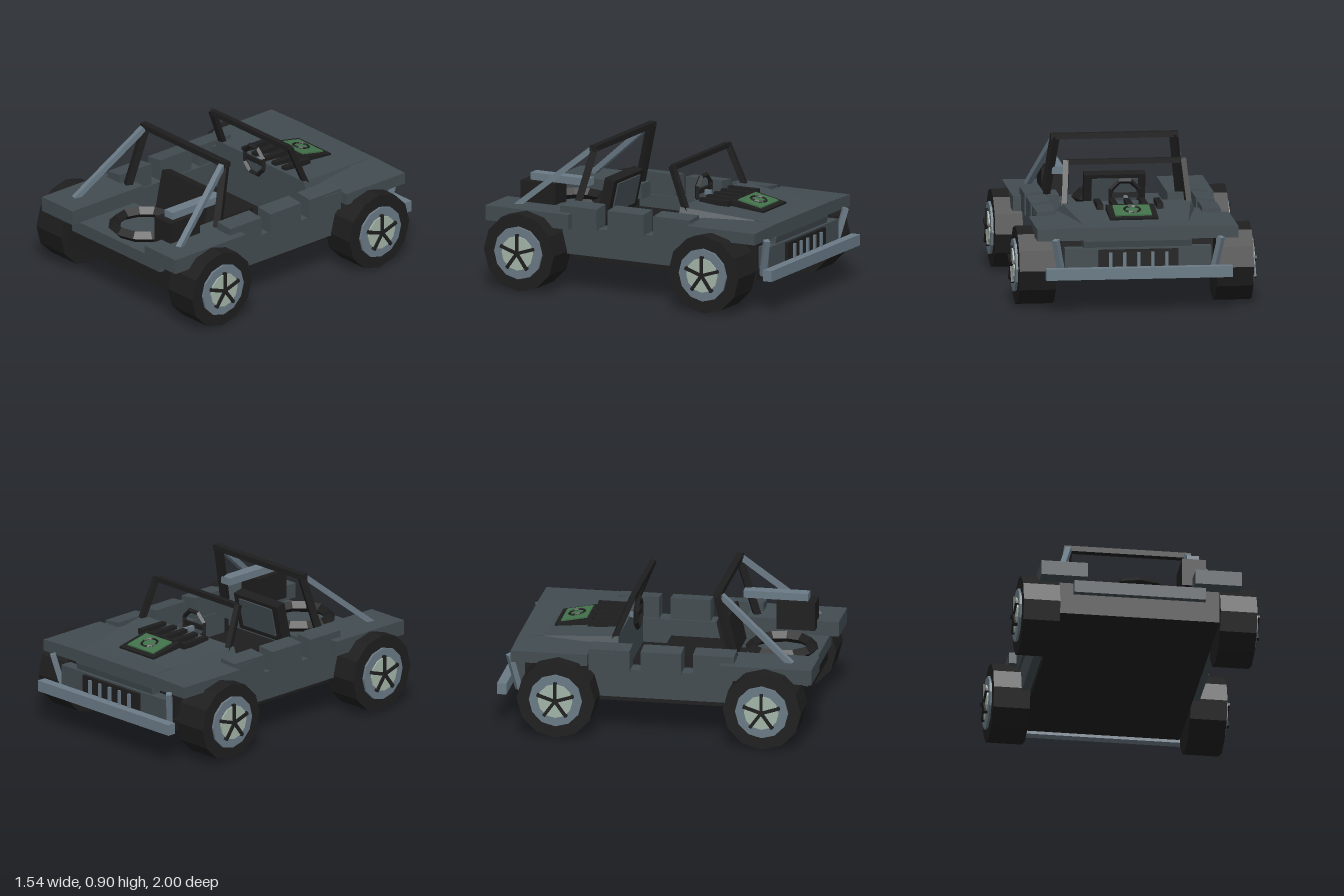
import * as THREE from 'three';

const mat = (name, color) => {
  const m = new THREE.MeshStandardMaterial({ color });
  m.name = name;
  m.flatShading = true;
  return m;
};

export function createModel() {
  const body = mat('slate body', 0x424c51);
  const dark = mat('black', 0x1e1e1e);
  const steel = mat('light steel', 0x6a7a86);
  const pale = mat('pale hub', 0xa3b5a8);
  const green = mat('green', 0x42724b);
  const root = new THREE.Group();
  root.name = 'buggy';

  const add = (name, geo, material, parent = root) => {
    const m = new THREE.Mesh(geo, material);
    m.name = name;
    parent.add(m);
    return m;
  };
  // Box given by its extents on each axis
  const box = (name, material, x0, x1, y0, y1, z0, z1, parent = root) => {
    const m = add(name, new THREE.BoxGeometry(Math.abs(x1 - x0), y1 - y0, z1 - z0), material, parent);
    m.position.set((x0 + x1) / 2, (y0 + y1) / 2, (z0 + z1) / 2);
    return m;
  };
  // Lower the outer top edge of a box on side s
  const slopeOut = (mesh, s, drop) => {
    const p = mesh.geometry.attributes.position;
    for (let i = 0; i < p.count; i++)
      if (p.getY(i) > 0 && p.getX(i) * s > 0) p.setY(i, p.getY(i) - drop);
    mesh.geometry.computeVertexNormals();
  };
  // Square bar between two points
  const bar = (name, material, a, b, t) => {
    const p = new THREE.Vector3(...a), q = new THREE.Vector3(...b);
    const m = add(name, new THREE.BoxGeometry(t, t, p.distanceTo(q)), material);
    m.position.copy(p).add(q).multiplyScalar(0.5);
    m.lookAt(q);
  };

  // Chassis and floor
  box('floorPan', dark, -0.505, 0.505, 0.192, 0.26, -0.85, 0.9);
  box('rearChassis', dark, -0.505, 0.505, 0.25, 0.4, 0.49, 0.9);
  box('frontChassis', dark, -0.48, 0.48, 0.25, 0.45, -0.84, -0.3);
  box('rearDeck', body, -0.415, 0.415, 0.325, 0.405, 0.49, 0.94);

  // Hood: side profile extruded across, narrowing to the nose and to its top edge
  const profile = [[-0.26, 0.25], [-0.26, 0.5], [-0.26, 0.58], [-0.74, 0.534], [-0.905, 0.528],
    [-0.905, 0.44], [-0.86, 0.235], [-0.6, 0.235]];
  const hoodShape = new THREE.Shape(profile.map(([z, y]) => new THREE.Vector2(-z, y)));
  const hoodGeo = new THREE.ExtrudeGeometry(hoodShape, { depth: 0.88, bevelEnabled: false });
  hoodGeo.translate(0, 0, -0.44).rotateY(Math.PI / 2);
  const hp = hoodGeo.attributes.position;
  for (let i = 0; i < hp.count; i++) {
    const t = THREE.MathUtils.clamp((-0.26 - hp.getZ(i)) / 0.48, 0, 1);
    const taper = Math.max(0, hp.getY(i) - 0.53) * 1.4;
    hp.setX(i, hp.getX(i) * (1 - 0.23 * t - taper));
  }
  hoodGeo.computeVertexNormals();
  add('hood', hoodGeo, body);

  // Sides, fenders and bars, mirrored
  for (const s of [1, -1]) {
    box('sideSill', body, s * 0.45, s * 0.56, 0.235, 0.415, -0.42, 0.49);
    for (const [z0, z1] of [[-0.42, -0.16], [-0.09, 0.165], [0.24, 0.5]])
      slopeOut(box('sidePad', body, s * 0.46, s * 0.578, 0.405, 0.555, z0, z1), s, 0.012);
    box('rearFender', body, s * 0.34, s * 0.63, 0.405, 0.5, 0.415, 1.0);
    slopeOut(box('frontFender', body, s * 0.33, s * 0.63, 0.448, 0.529, -0.905, -0.42), s, 0.008);
    box('cowlSide', body, s * 0.33, s * 0.582, 0.448, 0.525, -0.43, -0.265);
    bar('rollBarLeg', dark, [s * 0.372, 0.885, 0.362], [s * 0.43, 0.43, 0.485], 0.045);
    bar('rollBarBrace', steel, [s * 0.372, 0.875, 0.385], [s * 0.492, 0.49, 0.85], 0.035);
    bar('windshieldPost', dark, [s * 0.365, 0.825, -0.18], [s * 0.39, 0.54, -0.298], 0.035);
    bar('bumperStrut', steel, [s * 0.52, 0.46, -0.932], [s * 0.475, 0.225, -0.88], 0.035);
  }
  box('rollBarTop', dark, -0.4, 0.4, 0.865, 0.9, 0.342, 0.387);
  box('windshieldTop', dark, -0.36, 0.36, 0.8, 0.832, -0.2, -0.165);

  // Nose: bumper and grille
  box('bumper', steel, -0.585, 0.585, 0.215, 0.285, -1.0, -0.94);
  box('nosePanel', body, -0.46, 0.46, 0.235, 0.4, -0.915, -0.84);
  box('grille', dark, -0.25, 0.25, 0.25, 0.39, -0.937, -0.9);
  for (let i = -2; i <= 2; i++) {
    box('grilleBar', steel, i * 0.088 - 0.01, i * 0.088 + 0.01, 0.265, 0.375, -0.951, -0.932);
    // Hood vents
    box('hoodVent', dark, i * 0.094 - 0.019, i * 0.094 + 0.019, 0.565, 0.6, -0.495, -0.285);
  }

  // Air intake, tilted with the hood
  const intake = new THREE.Group();
  intake.name = 'airIntake';
  intake.position.set(0, 0.562, -0.592);
  intake.rotation.x = -0.2;
  root.add(intake);
  box('intakeBase', dark, -0.152, 0.152, -0.03, 0.011, -0.12, 0.12, intake);
  box('intakeTop', green, -0.115, 0.115, 0.005, 0.02, -0.084, 0.084, intake);
  const ring = add('intakeRing', new THREE.TorusGeometry(0.05, 0.008, 4, 12), dark, intake);
  ring.rotation.x = Math.PI / 2;
  ring.position.y = 0.023;

  // Seat, with the backrest leaning over the cushion
  box('seatCushion', dark, -0.19, 0.19, 0.25, 0.4, -0.035, 0.35);
  const back = box('seatBack', dark, -0.192, 0.192, 0.4, 0.648, 0.346, 0.416);
  back.rotation.x = -0.22;
  box('seatInset', body, -0.145, 0.145, -0.09, 0.1, -0.044, -0.035, back);

  // Steering wheel
  const wheelRing = add('steeringWheel', new THREE.TorusGeometry(0.095, 0.016, 4, 8), dark);
  wheelRing.rotation.z = Math.PI / 8;
  wheelRing.position.set(0, 0.605, -0.208);
  box('steeringSpoke', dark, -0.09, 0.09, 0.59, 0.62, -0.218, -0.2);
  box('steeringColumn', steel, -0.013, 0.013, 0.575, 0.605, -0.262, -0.218);

  // Spare tyre and cargo on the rear deck
  const spare = add('spareTyre', new THREE.TorusGeometry(0.193, 0.038, 4, 12), dark);
  spare.rotation.x = Math.PI / 2;
  spare.position.set(0, 0.437, 0.7);
  box('cargoBox', dark, 0.275, 0.425, 0.455, 0.635, 0.615, 0.86);
  box('cargoTube', steel, 0.312, 0.387, 0.635, 0.682, 0.4, 0.81);

  // Wheels: local +x is the outward axis
  const disc = (name, r, x0, x1, material, parent) => {
    const m = add(name, new THREE.CylinderGeometry(r, r, x1 - x0, 12).rotateZ(-Math.PI / 2), material, parent);
    m.position.x = (x0 + x1) / 2;
  };
  for (const s of [1, -1]) for (const z of [0.706, -0.6]) {
    const w = new THREE.Group();
    w.name = 'wheel';
    w.position.set(0, 0.249, z);
    if (s < 0) w.rotation.y = Math.PI;
    root.add(w);
    disc('tyre', 0.248, 0.505, 0.735, dark, w);
    disc('rim', 0.168, 0.73, 0.75, steel, w);
    disc('hub', 0.11, 0.745, 0.759, pale, w);
    for (let i = 0; i < 5; i++) {
      const spoke = add('spoke', new THREE.BoxGeometry(0.02, 0.122, 0.02).translate(0.76, 0.061, 0), dark, w);
      spoke.rotation.x = i * Math.PI * 0.4;
    }
  }
  return root;
}
